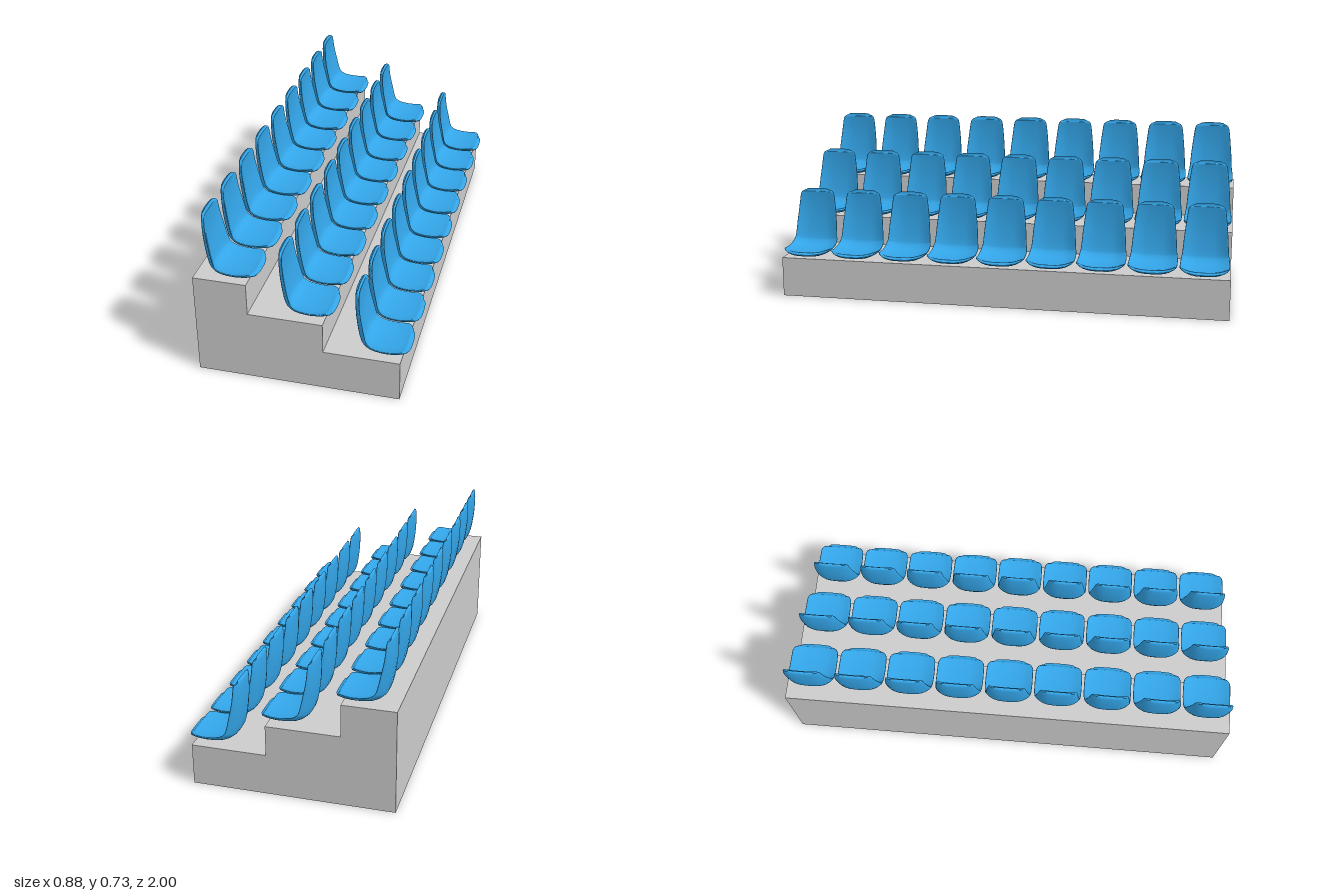
import * as THREE from 'three';

// Seat stations from the top of the back to the front lip:
// [x, y of the outer surface, half width, rim rise, shell thickness]
const STATIONS = [
  [-0.397, 0.733, 0.050, 0.003, 0],
  [-0.405, 0.728, 0.068, 0.006, 0.016],
  [-0.409, 0.710, 0.080, 0.012, 0.018],
  [-0.410, 0.650, 0.088, 0.018, 0.018],
  [-0.405, 0.580, 0.095, 0.026, 0.018],
  [-0.388, 0.495, 0.101, 0.030, 0.018],
  [-0.372, 0.474, 0.103, 0.030, 0.018],
  [-0.340, 0.456, 0.105, 0.028, 0.018],
  [-0.270, 0.450, 0.106, 0.023, 0.018],
  [-0.220, 0.453, 0.104, 0.024, 0.018],
  [-0.200, 0.457, 0.097, 0.021, 0.018],
  [-0.187, 0.462, 0.083, 0.012, 0.015],
  [-0.181, 0.468, 0.062, 0.007, 0],
];

// Dished shell: a curved slab section swept along the seat profile
function seatGeometry(rows = 36, cols = 28) {
  const spine = new THREE.CatmullRomCurve3(STATIONS.map(([x, y]) => new THREE.Vector3(x, y, 0)));
  const size = new THREE.CatmullRomCurve3(STATIONS.map(([, , w, d, t]) => new THREE.Vector3(w, d, t)));
  const soft = (v) => Math.sign(v) * Math.pow(Math.abs(v), 0.65);
  const positions = [];
  const index = [];
  for (let i = 0; i <= rows; i++) {
    const p = spine.getPoint(i / rows);
    const tangent = spine.getTangent(i / rows);
    const { x: w, y: d, z: t } = size.getPoint(i / rows);
    for (let j = 0; j < cols; j++) {
      const a = (j / cols) * Math.PI * 2;
      const u = soft(Math.cos(a));
      const n = (t / 2) * (1 + soft(Math.sin(a))) + d * Math.abs(u) ** 3;
      positions.push(p.x - tangent.y * n, p.y + tangent.x * n, w * u);
      if (i < rows) {
        const k = (j + 1) % cols;
        const a0 = i * cols + j, b0 = i * cols + k;
        index.push(a0, a0 + cols, b0, b0, a0 + cols, b0 + cols);
      }
    }
  }
  const g = new THREE.BufferGeometry();
  g.setAttribute('position', new THREE.Float32BufferAttribute(positions, 3));
  g.setIndex(index);
  g.computeVertexNormals();
  return g;
}

export function createModel() {
  const model = new THREE.Group();
  model.name = 'stadiumSeating';

  // Stepped base
  const profile = new THREE.Shape([
    [-0.44, 0], [0.41, 0], [0.41, 0.178], [0.094, 0.178],
    [0.094, 0.31], [-0.217, 0.31], [-0.217, 0.45], [-0.44, 0.45],
  ].map(([x, y]) => new THREE.Vector2(x, y)));
  const base = new THREE.Mesh(
    new THREE.ExtrudeGeometry(profile, { depth: 2, bevelEnabled: false }).translate(0, 0, -1),
    new THREE.MeshStandardMaterial({ color: 0xcccccc }),
  );
  base.name = 'steppedBase';
  model.add(base);

  // Three rows of nine seats, each row lower and further forward
  const geometry = seatGeometry();
  const blue = new THREE.MeshStandardMaterial({ color: 0x33a5e8 });
  for (let r = 0; r < 3; r++) {
    const row = new THREE.Group();
    row.name = ['upperSeatRow', 'middleSeatRow', 'lowerSeatRow'][r];
    row.position.set(r * 0.31, r * -0.133, 0);
    for (let i = 0; i < 9; i++) {
      const seat = new THREE.Mesh(geometry, blue);
      seat.name = 'seat';
      seat.position.z = (i - 4) * 0.222;
      row.add(seat);
    }
    model.add(row);
  }
  return model;
}
